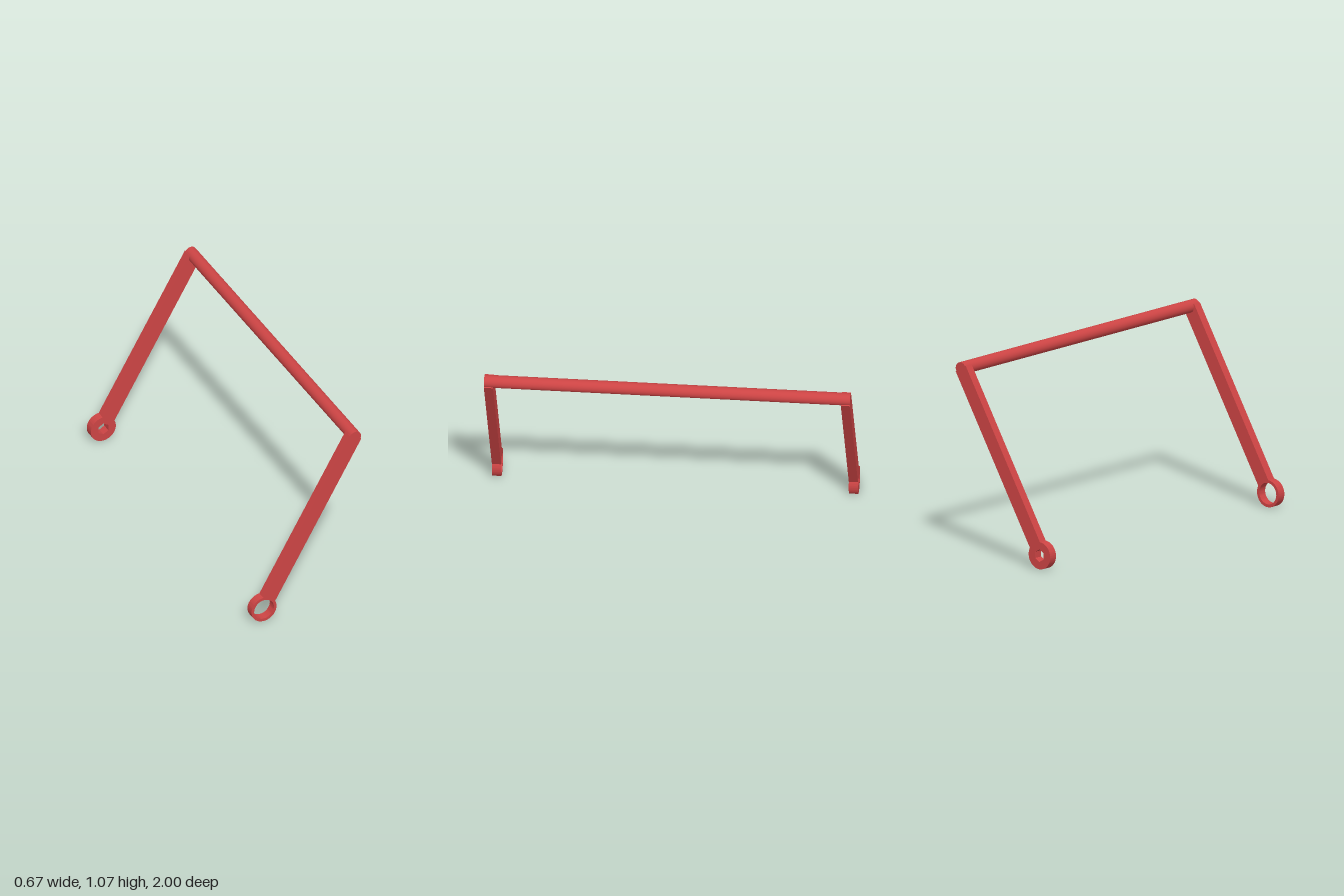
import * as THREE from 'three';
import { toCreasedNormals } from 'three/addons/utils/BufferGeometryUtils.js';

const PIVOT = [-0.26, 0.076]; // centre of the mounting eyes
const LENGTH = 1.113;         // eye centre to handle centre
const TILT = Math.PI / 6;     // lean of the arms towards +x
const THICK = 0.05, EYE_R = 0.076, HALF_W = 0.041, HANDLE_R = 0.035;

// Regular closed hole; many sides for a bore, six for a hex socket
function holePath(radius, sides) {
  const points = [];
  for (let i = 0; i < sides; i++) {
    const a = -(i / sides) * Math.PI * 2;
    points.push(new THREE.Vector2(Math.cos(a) * radius, Math.sin(a) * radius));
  }
  return new THREE.Path(points);
}

// Flat arm with a round eye at its lower end, drawn upright
function armGeometry(hole) {
  const join = Math.acos(HALF_W / EYE_R);
  const shape = new THREE.Shape();
  shape.moveTo(HALF_W, LENGTH);
  shape.lineTo(-HALF_W, LENGTH);
  shape.absarc(0, 0, EYE_R, Math.PI - join, Math.PI * 2 + join, false);
  shape.closePath();
  shape.holes.push(hole);
  const geometry = new THREE.ExtrudeGeometry(shape, { depth: THICK, bevelEnabled: false, curveSegments: 48 });
  return toCreasedNormals(geometry, Math.PI / 7);
}

export function createModel() {
  const model = new THREE.Group();
  model.name = 'pullHandle';
  const red = new THREE.MeshStandardMaterial({ color: 0xcc4444 });
  red.name = 'red';

  // Front arm has a round bore, back arm a hex socket
  const arms = [
    ['frontArm', 1 - THICK, holePath(0.06, 48)],
    ['backArm', -1, holePath(0.035, 6)],
  ];
  for (const [name, z, hole] of arms) {
    const arm = new THREE.Mesh(armGeometry(hole), red);
    arm.name = name;
    arm.position.set(PIVOT[0], PIVOT[1], z);
    arm.rotation.z = -TILT;
    model.add(arm);
  }

  // Round crossbar joining the arm tops
  const bar = new THREE.Mesh(new THREE.CylinderGeometry(HANDLE_R, HANDLE_R, 2, 48), red);
  bar.name = 'crossbar';
  bar.rotation.x = Math.PI / 2;
  bar.position.set(PIVOT[0] + Math.sin(TILT) * LENGTH, PIVOT[1] + Math.cos(TILT) * LENGTH, 0);
  model.add(bar);

  return model;
}
